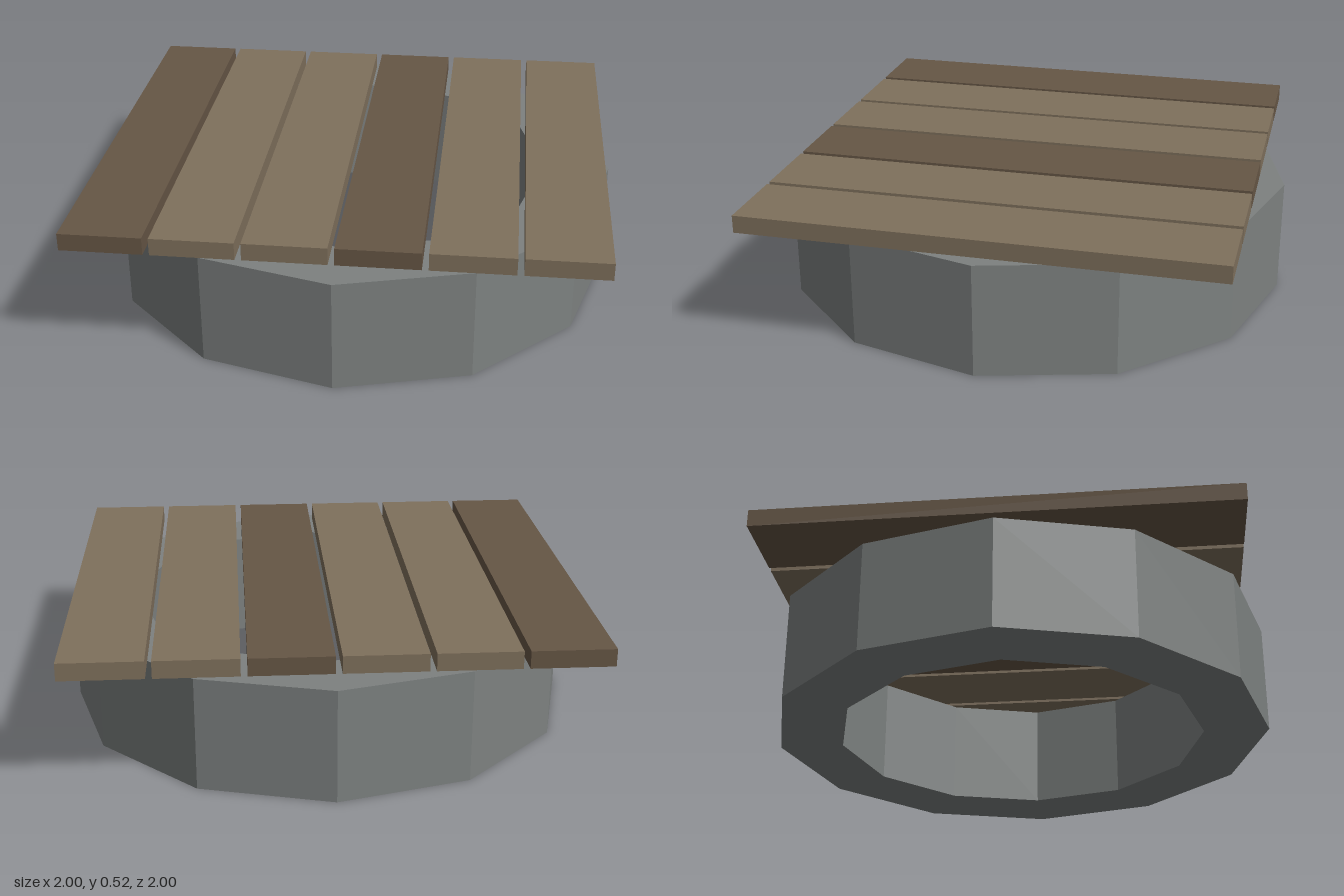
import * as THREE from 'three';

export function createModel() {
  const group = new THREE.Group();
  const material = (color) => new THREE.MeshStandardMaterial({ color, flatShading: true });
  const stone = material(0x7d8180);
  const lightWood = material(0x7f705c);
  const darkWood = material(0x665645);

  // Twelve-sided stone ring, open through the middle
  const outer = 1, inner = 0.74, height = 0.437;
  const profile = [
    [outer, 0], [outer, height], [inner, height], [inner, 0], [outer, 0],
  ].map(([r, y]) => new THREE.Vector2(r, y));
  const ring = new THREE.Mesh(new THREE.LatheGeometry(profile, 12), stone);
  ring.name = 'stoneRing';
  group.add(ring);

  // Lid of six separate planks, every third one darker
  const lid = new THREE.Group();
  lid.name = 'plankLid';
  const width = 0.309, pitch = 0.333;
  const plankGeometry = new THREE.BoxGeometry(width, 0.067, 1.8);
  for (let i = 0; i < 6; i++) {
    const plank = new THREE.Mesh(plankGeometry, i % 3 === 0 ? darkWood : lightWood);
    plank.name = `plank${i + 1}`;
    plank.position.set(-1 + width / 2 + i * pitch, 0.49, 0);
    lid.add(plank);
  }
  group.add(lid);

  return group;
}
